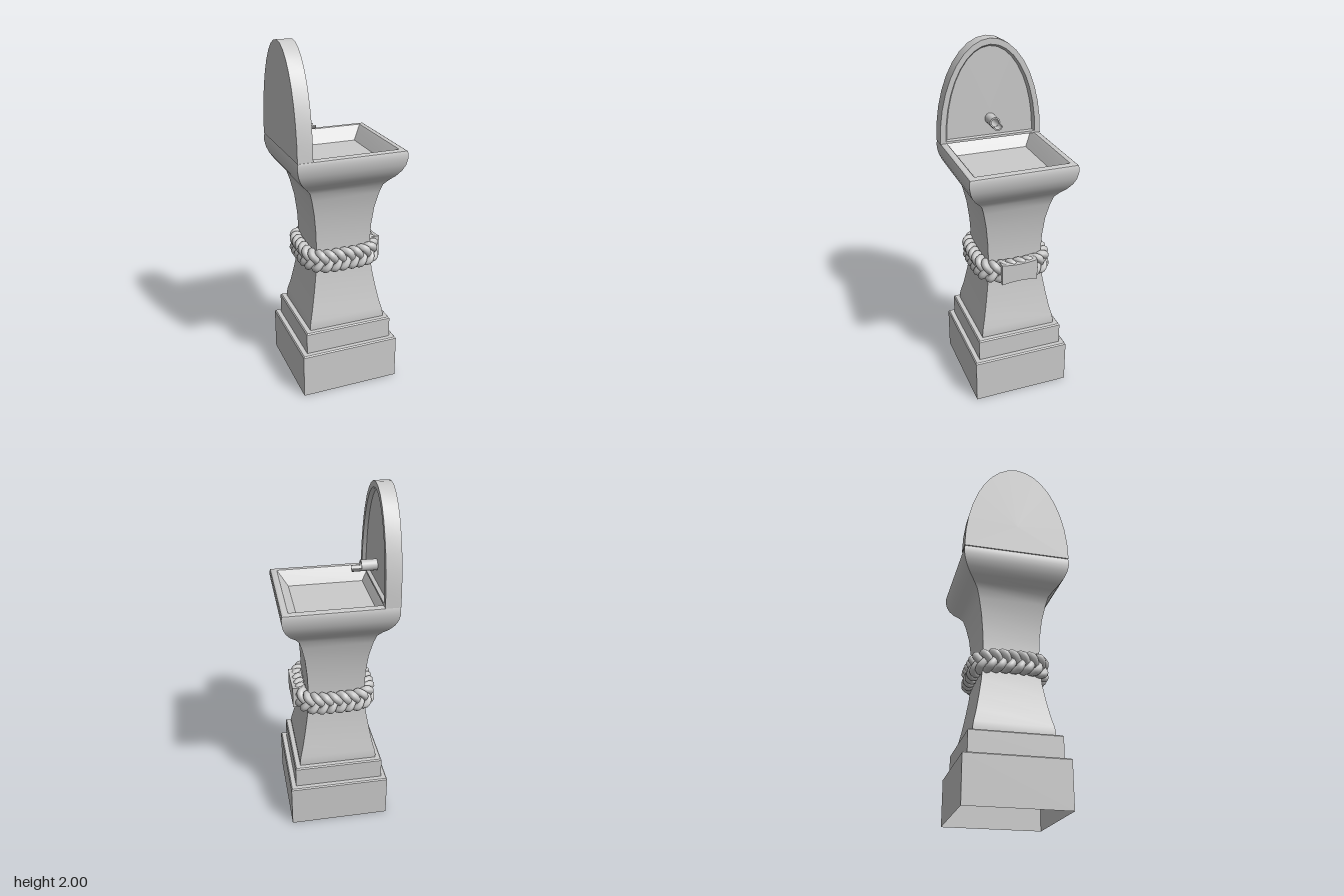
import * as THREE from 'three';
import { toCreasedNormals } from 'three/addons/utils/BufferGeometryUtils.js';

const material = new THREE.MeshStandardMaterial({ color: 0xcccccc, side: THREE.DoubleSide });
const DEPTH = 0.975; // z size relative to x size

function part(name, geometry, parent) {
  const mesh = new THREE.Mesh(geometry, material);
  mesh.name = name;
  parent.add(mesh);
  return mesh;
}

// Four-sided turned body; profile holds [half width, height]
function squareLathe(profile) {
  const points = profile.map(([h, y]) => new THREE.Vector2(h * Math.SQRT2, y));
  const geometry = new THREE.LatheGeometry(points, 4, Math.PI / 4);
  geometry.scale(1, 1, DEPTH);
  return toCreasedNormals(geometry, 0.6);
}

// Extrude a (z, y) shape along +x from x0
function extrudeX(shape, x0, length) {
  const geometry = new THREE.ExtrudeGeometry(shape, { depth: length, bevelEnabled: false, curveSegments: 10 });
  geometry.rotateY(Math.PI / 2);
  geometry.translate(x0, 0, 0);
  return toCreasedNormals(geometry, 0.6);
}

// Arched board lofted through inset outlines; sections hold [x, inset], null inset closes to a point
function archedBoard(sections) {
  const N = 18, row = N + 2;
  const positions = [], index = [];
  sections.forEach(([x, inset]) => {
    for (let i = 0; i <= N; i++) {
      const a = (Math.PI * i) / N;
      if (inset === null) positions.push(x, 1.6, 0);
      else positions.push(x, 1.43 + inset * 0.4 + (0.57 - inset * 1.4) * Math.sin(a), (0.302 - inset) * Math.cos(a));
    }
    // Repeat the first point to close the straight bottom edge
    positions.push(...positions.slice(-3 * (N + 1), -3 * N));
  });
  for (let s = 0; s < sections.length - 1; s++) {
    for (let i = 0; i <= N; i++) {
      const a = s * row + i, b = a + row;
      index.push(a, b, a + 1, a + 1, b, b + 1);
    }
  }
  const geometry = new THREE.BufferGeometry();
  geometry.setAttribute('position', new THREE.Float32BufferAttribute(positions, 3));
  geometry.setIndex(index);
  return toCreasedNormals(geometry, 0.45);
}

// Rounded-square loop around the column, evenly spaced by arc length
function bandLoop() {
  const points = [];
  const root = (v) => Math.sign(v) * Math.sqrt(Math.abs(v));
  for (let i = 0; i < 240; i++) {
    const a = (Math.PI * 2 * i) / 240;
    points.push(new THREE.Vector3(0.2 * root(Math.cos(a)), 0.8, 0.192 * root(Math.sin(a))));
  }
  return new THREE.CatmullRomCurve3(points, true);
}

// One of three strands weaving up, down, in and out along the loop
function braidStrand(loop, phase) {
  const points = [], steps = 216, waves = 9;
  for (let i = 0; i < steps; i++) {
    const u = i / steps, t = Math.PI * 2 * (u * waves) + phase;
    const p = loop.getPointAt(u), tangent = loop.getTangentAt(u);
    const outward = new THREE.Vector3(tangent.z, 0, -tangent.x);
    if (outward.dot(p) < 0) outward.negate();
    p.addScaledVector(outward, 0.016 * Math.sin(2 * t));
    p.y += 0.047 * Math.sin(t);
    points.push(p);
  }
  return new THREE.TubeGeometry(new THREE.CatmullRomCurve3(points, true), 432, 0.022, 8, true);
}

export function createModel() {
  const model = new THREE.Group();
  model.name = 'drinkingFountain';

  // Hollow stepped plinth, flared column, rolled rim and sunken basin
  part('pedestalAndBasin', squareLathe([
    [0.29, 0], [0.29, 0.257], [0.284, 0.264], [0.258, 0.264],
    [0.258, 0.385], [0.252, 0.392], [0.226, 0.392],
    [0.226, 0.415], [0.221, 0.445], [0.205, 0.51], [0.188, 0.6], [0.173, 0.69],
    [0.164, 0.78], [0.162, 0.87], [0.166, 0.97], [0.178, 1.08], [0.197, 1.17],
    [0.212, 1.22], [0.235, 1.25], [0.264, 1.28], [0.288, 1.315], [0.303, 1.35],
    [0.31, 1.385], [0.31, 1.415], [0.306, 1.428], [0.298, 1.432],
    [0.272, 1.432], [0.26, 1.418], [0.215, 1.355], [0, 1.355],
  ]), model);

  // Back board with a bevelled, recessed front panel
  part('backBoard', archedBoard([
    [-0.31, null], [-0.31, 0], [-0.226, 0], [-0.226, 0.033],
    [-0.246, 0.045], [-0.246, null],
  ]), model);

  // Spout: round pipe ending in an open trough
  const spout = new THREE.Group();
  spout.name = 'spout';
  model.add(spout);
  const ring = new THREE.Shape().absarc(0, 1.545, 0.031, 0, Math.PI * 2);
  ring.holes.push(new THREE.Path().absarc(0, 1.545, 0.022, 0, Math.PI * 2, true));
  part('spoutPipe', extrudeX(ring, -0.25, 0.092), spout);
  const lip = new THREE.Shape();
  lip.absarc(0, 1.545, 0.031, Math.PI + 0.25, Math.PI * 2 - 0.25, false);
  lip.absarc(0, 1.545, 0.023, Math.PI * 2 - 0.25, Math.PI + 0.25, true);
  part('spoutTrough', extrudeX(lip, -0.165, 0.055), spout);

  // Braided band around the column
  const band = new THREE.Group();
  band.name = 'braidedBand';
  model.add(band);
  const loop = bandLoop();
  for (let i = 0; i < 3; i++) {
    part('braidStrand', braidStrand(loop, (i * Math.PI * 2) / 3), band);
  }

  // Clasp plate with slightly hollowed top and bottom edges
  const plate = new THREE.Shape();
  plate.moveTo(-0.105, 0.735);
  plate.quadraticCurveTo(0, 0.755, 0.105, 0.735);
  plate.lineTo(0.105, 0.862);
  plate.quadraticCurveTo(0, 0.842, -0.105, 0.862);
  plate.closePath();
  part('claspPlate', extrudeX(plate, 0.17, 0.074), band);

  return model;
}
